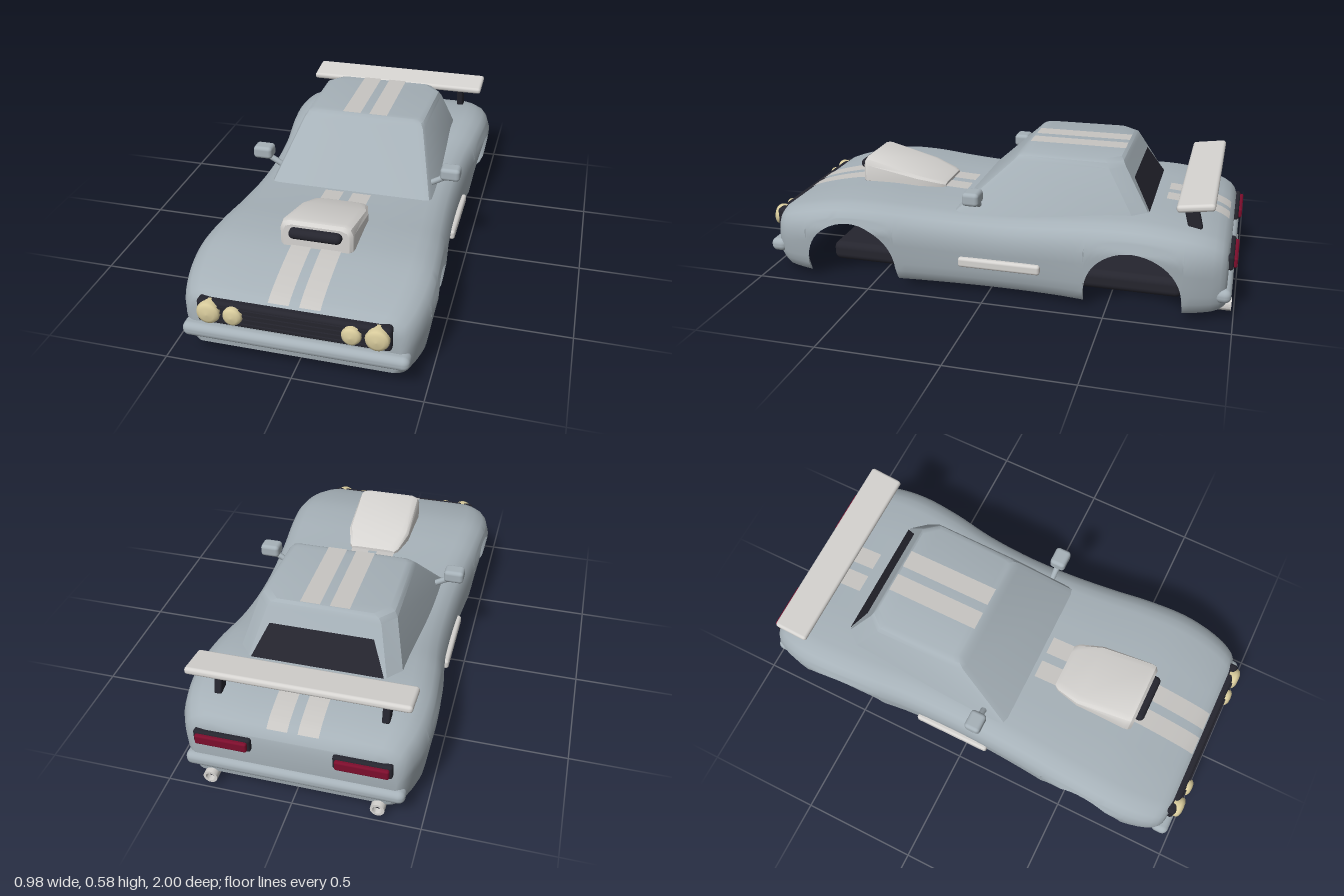
import * as THREE from 'three';
import { toCreasedNormals } from 'three/addons/utils/BufferGeometryUtils.js';
import { RoundedBoxGeometry } from 'three/addons/geometries/RoundedBoxGeometry.js';

const mat = (name, color, side = THREE.FrontSide) => {
  const m = new THREE.MeshStandardMaterial({ color, side });
  m.name = name;
  return m;
};

// Surface through rings of [x, y, z] points, with optional mirrored-strip end caps
function loft(rings, { closed = false, caps = false, crease = 0.6 } = {}) {
  const n = rings[0].length, index = [];
  for (let i = 0; i < rings.length - 1; i++) {
    for (let j = 0; j < (closed ? n : n - 1); j++) {
      const k = (j + 1) % n, a = i * n + j, b = i * n + k;
      index.push(a, b, a + n, b, b + n, a + n);
    }
  }
  if (caps) {
    const e = (rings.length - 1) * n;
    for (let j = 0; j < n / 2 - 1; j++) {
      const p = n - 1 - j;
      index.push(e + j, e + j + 1, e + p, e + j + 1, e + p - 1, e + p);
      index.push(j, p, j + 1, j + 1, p, p - 1);
    }
  }
  const g = new THREE.BufferGeometry();
  g.setAttribute('position', new THREE.Float32BufferAttribute(rings.flat(2), 3));
  g.setIndex(index);
  g.computeVertexNormals();
  return toCreasedNormals(g, crease);
}

// Adds the mirror image of a half outline running from +x towards the middle
const mirrored = (half) => [...half, ...half.map(([x, y, z]) => [-x, y, z]).reverse()];

// Smooth and straight interpolation in small tables
const smooth = (zs, vs) => {
  const c = new THREE.CubicInterpolant(zs, vs, 1);
  return (z) => c.evaluate(z)[0];
};
const linear = (xs, vs) => {
  const c = new THREE.LinearInterpolant(xs, vs, 1);
  return (x) => c.evaluate(Math.min(Math.max(x, xs[0]), xs[xs.length - 1]))[0];
};

// Body proportions along its length
const topY = smooth([-0.967, -0.955, -0.93, -0.88, -0.8, -0.65, -0.5, -0.3, -0.1, 0.1, 0.3, 0.5, 0.65, 0.8, 0.9, 0.93, 0.945],
  [0.28, 0.305, 0.325, 0.345, 0.363, 0.378, 0.373, 0.35, 0.334, 0.333, 0.342, 0.354, 0.35, 0.322, 0.293, 0.28, 0.265]);
const halfW = smooth([-0.967, -0.955, -0.92, -0.85, -0.7, -0.5, -0.3, 0, 0.3, 0.5, 0.7, 0.85, 0.91, 0.935, 0.945],
  [0.405, 0.425, 0.445, 0.472, 0.49, 0.478, 0.452, 0.445, 0.462, 0.482, 0.49, 0.47, 0.448, 0.43, 0.41]);
const baseY = linear([-0.967, -0.93, -0.8, 0.8, 0.9, 0.945], [0.06, 0.038, 0.03, 0.03, 0.036, 0.06]);
const shoulder = linear([0, 0.008, 0.025, 0.05, 0.1], [0.76, 0.84, 0.92, 0.965, 1]);
const sill = linear([0, 0.03, 0.1, 0.22], [0.9, 0.95, 0.975, 1]);

function bodyRing(z, bottom) {
  const t = topY(z), w = halfW(z), half = [];
  const side = (y) => half.push([w * shoulder(t - y) * sill(y - baseY(z)), y, z]);
  for (let k = 0; k <= 7; k++) side(THREE.MathUtils.lerp(bottom, t - 0.05, (k / 7) ** 1.4));
  [0.025, 0.008, 0].forEach((d) => side(t - d));
  half.push([w * 0.4, t, z]);
  return mirrored(half);
}

// Hollow shell, open below, with round wheel arches
function bodyGeometry() {
  const rings = [], R = 0.195, hub = 0.085;
  const plain = (...zs) => zs.forEach((z) => rings.push(bodyRing(z, baseY(z))));
  const arch = (c) => {
    plain(c - R - 0.004);
    for (let k = 0; k <= 24; k++) {
      const a = Math.PI * (1 - k / 24);
      rings.push(bodyRing(c + R * Math.cos(a), hub + R * Math.sin(a)));
    }
    plain(c + R + 0.004);
  };
  plain(-0.967, -0.957, -0.94, -0.91, -0.87, -0.83);
  arch(-0.605);
  for (let k = 0; k <= 12; k++) plain(-0.37 + k * 0.06);
  arch(0.587);
  plain(0.82, 0.86, 0.895, 0.92, 0.936, 0.945);
  return loft(rings, { caps: true, crease: 0.7 });
}

// Cabin levels: height, front z, front half width, back half width, back z
const cabinLevels = [
  [0.31, 0.185, 0.362, 0.347, -0.676],
  [0.55, -0.068, 0.275, 0.28, -0.531],
  [0.57, -0.088, 0.262, 0.268, -0.52],
  [0.58, -0.105, 0.24, 0.245, -0.508],
];
const cabinRing = ([y, zf, wf, wb, zb]) => mirrored([
  [wf - 0.03, y, zf], [wf - 0.007, y, zf - 0.008], [wf, y, zf - 0.03],
  [wb, y, zb + 0.06], [wb - 0.05, y, zb],
]);

export function createModel() {
  const car = new THREE.Group();
  car.name = 'car';
  const paint = mat('grey paint', 0xa6b1b8, THREE.DoubleSide);
  const white = mat('off white', 0xd6d4d1, THREE.DoubleSide);
  const stripe = mat('stripe', 0xc7c5c2, THREE.DoubleSide);
  const dark = mat('dark trim', 0x25252e, THREE.DoubleSide);
  const lamp = mat('headlight cream', 0xd8cb9c);
  const red = mat('tail light red', 0x7c0d2c);

  const add = (name, geometry, material, x = 0, y = 0, z = 0) => {
    const m = new THREE.Mesh(geometry, material);
    m.name = name;
    m.position.set(x, y, z);
    car.add(m);
    return m;
  };
  const rbox = (w, h, d, r) => new RoundedBoxGeometry(w, h, d, 3, r);

  // Shell, cabin and floor
  add('body', bodyGeometry(), paint);
  add('cabin', loft(cabinLevels.map(cabinRing), { closed: true, caps: true }), paint);
  add('rearWindow', loft([[0.375, 0.27, -0.642], [0.5, 0.21, -0.566]].map(([y, x, z]) => [[x, y, z], [-x, y, z]])), dark);
  add('floor', rbox(0.52, 0.085, 1.56, 0.03), dark, 0, 0.0425, -0.01);

  // Hood scoop
  const scoop = [[0.28, 0.1, 0.356], [0.3, 0.116, 0.366], [0.4, 0.143, 0.398], [0.62, 0.148, 0.458], [0.64, 0.145, 0.457], [0.652, 0.132, 0.445]];
  add('scoop', loft(scoop.map(([z, w, t]) => mirrored(
    [[0.02, 0], [0, 0.15], [0, 0.72], [0.01, 0.92], [0.035, 1]].map(([inset, f]) => [w - inset, 0.335 + (t - 0.335) * f, z]))),
  { caps: true }), white);
  add('scoopIntake', rbox(0.21, 0.042, 0.06, 0.02), dark, 0, 0.414, 0.653);

  // Twin stripes on hood, roof and boot
  const runs = [['hoodStripe', 0.18, 0.935, (z) => topY(z)], ['roofStripe', -0.51, -0.105, () => 0.58], ['bootStripe', -0.95, -0.69, (z) => topY(z)]];
  for (const s of [-1, 1]) {
    for (const [name, z0, z1, height] of runs) {
      const rings = [];
      for (let k = 0; k <= 30; k++) {
        const z = z0 + (z1 - z0) * k / 30, y = height(z) + 0.004;
        rings.push([[s * 0.06 + 0.04, y, z], [s * 0.06 - 0.04, y, z]]);
      }
      add(name, loft(rings), stripe);
    }
  }

  // Nose
  add('grille', rbox(0.74, 0.1, 0.07, 0.015), dark, 0, 0.22, 0.935);
  for (let k = 0; k < 4; k++) add('grilleBar', new THREE.BoxGeometry(0.7, 0.009, 0.008), dark, 0, 0.19 + k * 0.02, 0.972);
  add('frontBumper', rbox(0.875, 0.058, 0.075, 0.026), paint, 0, 0.123, 0.942);

  // Tail
  add('rearBumper', rbox(0.86, 0.058, 0.065, 0.026), paint, 0, 0.112, -0.955);
  const wing = add('wing', rbox(0.86, 0.03, 0.146, 0.013), white, 0, 0.47, -0.828);
  wing.rotation.x = 0.14;

  const headlight = (r) => new THREE.LatheGeometry(
    [[0, 0.02], [0.6, 0.017], [0.9, 0.01], [1, 0], [1, -0.03]].map(([f, y]) => new THREE.Vector2(f * r, y)).reverse(), 24);
  const pipe = new THREE.LatheGeometry(
    [[0.028, -0.09], [0.028, 0], [0.018, 0], [0.018, -0.06]].map(([x, y]) => new THREE.Vector2(x, y)), 20);

  // Paired parts
  for (const s of [-1, 1]) {
    for (const [x, r] of [[0.32, 0.046], [0.225, 0.038]]) {
      add('headlight', headlight(r), lamp, s * x, 0.225, 0.976).rotation.x = Math.PI / 2;
    }
    add('tailLightFrame', rbox(0.225, 0.06, 0.03, 0.01), dark, s * 0.27, 0.24, -0.97);
    add('tailLight', rbox(0.205, 0.042, 0.03, 0.008), red, s * 0.27, 0.24, -0.984);
    add('exhaust', toCreasedNormals(pipe, 0.6), white, s * 0.33, 0.044, -0.99).rotation.x = -Math.PI / 2;
    add('exhaustHole', new THREE.CircleGeometry(0.018, 20), dark, s * 0.33, 0.044, -0.965).rotation.y = Math.PI;
    add('wingPost', rbox(0.03, 0.12, 0.055, 0.008), dark, s * 0.325, 0.405, -0.815).rotation.x = 0.25;
    add('mirror', rbox(0.085, 0.056, 0.07, 0.016), paint, s * 0.419, 0.428, 0.056);
    add('mirrorStalk', new THREE.CapsuleGeometry(0.013, 0.1, 4, 10), paint, s * 0.365, 0.385, 0.055).rotation.z = -s * 1.05;
    add('sideTrim', rbox(0.03, 0.042, 0.345, 0.012), white, s * 0.443, 0.15, -0.058);
  }
  return car;
}
